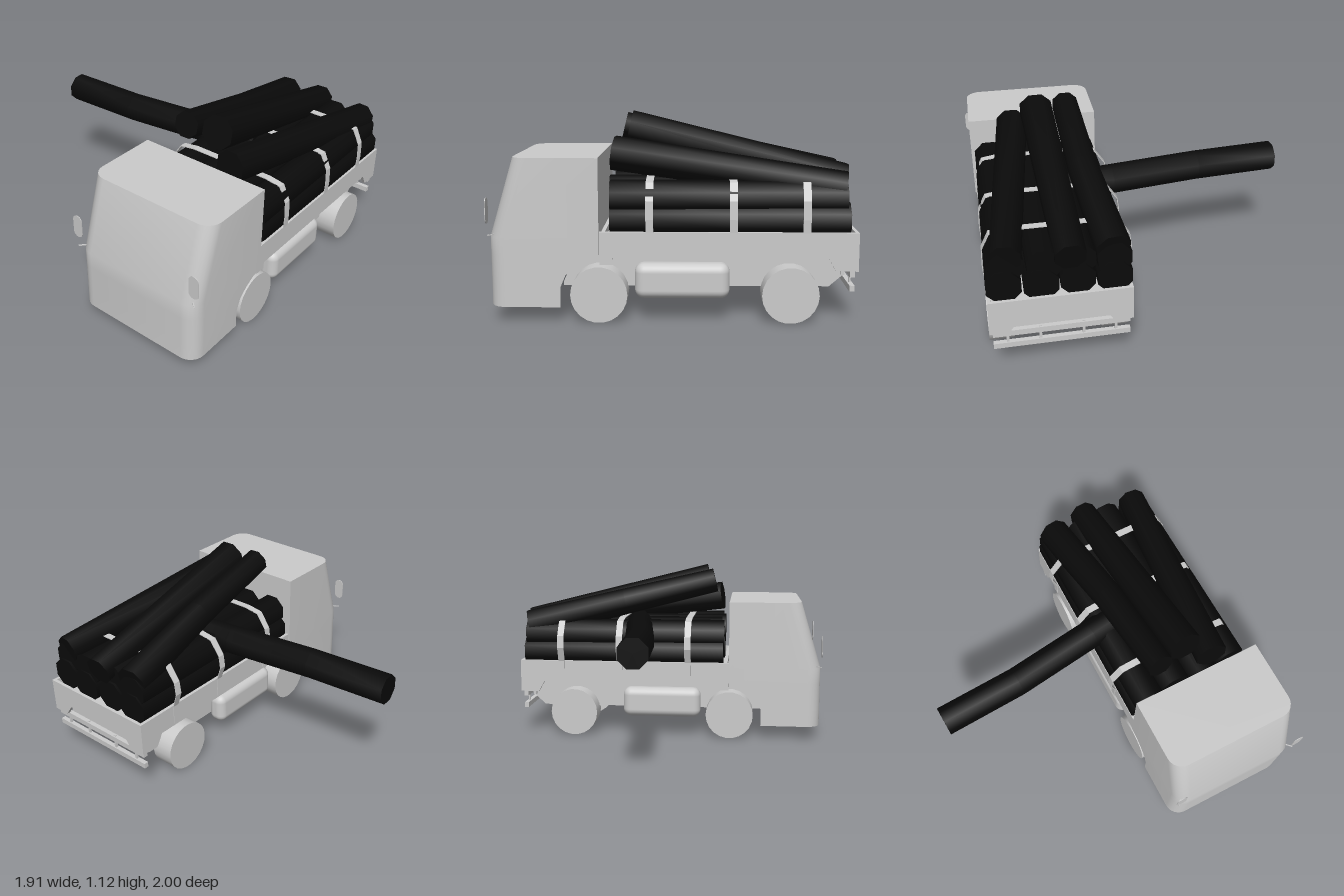
import * as THREE from 'three';
import { RoundedBoxGeometry } from 'three/addons/geometries/RoundedBoxGeometry.js';
import { toCreasedNormals } from 'three/addons/utils/BufferGeometryUtils.js';

const MID = 0.51; // centre line of the truck
const V = (x, y, z) => new THREE.Vector3(x, y, z);
const grey = new THREE.MeshStandardMaterial({ color: 0xcccccc });
const greyThin = new THREE.MeshStandardMaterial({ color: 0xcccccc, side: THREE.DoubleSide });
const bark = new THREE.MeshStandardMaterial({ color: 0x0a0a0a });

// Skin over a list of equal rings with end fans; keep(i, j) can leave panels out
function loft(rings, crease, startCap = true, keep = () => true) {
  const pos = [];
  const tri = (...ps) => ps.forEach((p) => pos.push(p.x, p.y, p.z));
  const n = rings[0].length;
  const centre = (ring) => ring.reduce((s, p) => s.add(p), V(0, 0, 0)).divideScalar(n);
  for (let i = 0; i < rings.length - 1; i++) {
    for (let j = 0; j < n; j++) {
      if (!keep(i, j)) continue;
      const k = (j + 1) % n, a = rings[i], b = rings[i + 1];
      tri(a[j], a[k], b[k]);
      tri(a[j], b[k], b[j]);
    }
  }
  const first = rings[0], last = rings[rings.length - 1];
  const c0 = centre(first), c1 = centre(last);
  for (let j = 0; j < n; j++) {
    const k = (j + 1) % n;
    if (startCap) tri(c0, first[k], first[j]);
    tri(c1, last[j], last[k]);
  }
  const g = new THREE.BufferGeometry();
  g.setAttribute('position', new THREE.Float32BufferAttribute(pos, 3));
  g.computeVertexNormals();
  return toCreasedNormals(g, crease);
}

// Profile in (z, y), extruded across x by the given thickness, centred on x
function sideExtrude(points, thickness, x) {
  const shape = new THREE.Shape(points.map(([z, y]) => new THREE.Vector2(-z, y)));
  const g = new THREE.ExtrudeGeometry(shape, { depth: thickness, bevelEnabled: false });
  return g.rotateY(Math.PI / 2).translate(x - thickness / 2, 0, 0);
}

export function createModel() {
  const model = new THREE.Group();
  model.name = 'logTruck';
  const add = (name, geometry, material = grey, parent = model) => {
    const m = new THREE.Mesh(geometry, material);
    m.name = name;
    parent.add(m);
    return m;
  };
  const box = (name, w, h, d, x, y, z) => add(name, new THREE.BoxGeometry(w, h, d).translate(x, y, z));

  // Cab shell: plan sections with rounded front corners, open underneath and behind the wheel arch
  const cabLevels = [[0.09, 0.995, 0.61], [0.2, 0.995, 0.61], [0.27, 0.995, 0.58], [0.315, 0.995, 0.53],
    [0.35, 0.995, 0.47], [0.37, 0.995, 0.4], [0.47, 0.995, 0.4], [0.9, 0.865, 0.4]];
  const cabRing = ([y, front, back]) => {
    const ring = [], r = 0.09, w = 0.41, mid = 0.514;
    for (let i = 0; i <= 6; i++) {
      const a = (i / 6) * Math.PI / 2;
      ring.push(V(mid + w - r + r * Math.sin(a), y, front - r + r * Math.cos(a)));
    }
    ring.push(V(mid + w, y, back), V(mid - w, y, back));
    for (let i = 6; i >= 0; i--) {
      const a = (i / 6) * Math.PI / 2;
      ring.push(V(mid - w + r - r * Math.sin(a), y, front - r + r * Math.cos(a)));
    }
    return ring;
  };
  add('cab', loft(cabLevels.map(cabRing), 0.5, false, (i, j) => j !== 7 || i >= 5), greyThin);

  // Load bed: floor, headboard and tailgate with a raised middle
  box('bedFloor', 0.76, 0.1, 1.38, MID, 0.41, -0.29);
  box('headboard', 0.79, 0.14, 0.02, MID, 0.43, 0.38);
  const gate = new THREE.Shape([[-0.395, 0.5], [-0.395, 0.29], [-0.29, 0.29], [-0.24, 0.36],
    [0.24, 0.36], [0.29, 0.29], [0.395, 0.29], [0.395, 0.5]].map(([x, y]) => new THREE.Vector2(x, y)));
  add('tailgate', new THREE.ExtrudeGeometry(gate, { depth: 0.02, bevelEnabled: false }).translate(MID, 0, -0.99));
  box('rearCrossMember', 0.62, 0.11, 0.02, MID, 0.305, -0.92);

  const bedSide = [[0.4, 0.5], [-0.99, 0.5], [-0.99, 0.29], [-0.87, 0.29], [-0.83, 0.36],
    [0.33, 0.36], [0.33, 0.32], [0.4, 0.32]];
  const skirt = [[0.61, 0.18], [0.61, 0.2], [0.58, 0.27], [0.53, 0.315], [0.47, 0.35], [0.4, 0.37],
    [-0.93, 0.37], [-0.93, 0.25], [-0.85, 0.18]];

  // Mirror plate outline
  const plate = new THREE.Shape();
  plate.absarc(0, 0.038, 0.032, 0, Math.PI, false);
  plate.absarc(0, -0.038, 0.032, Math.PI, Math.PI * 2, false);

  // Parts on both sides
  for (const [side, s] of [['left', 1], ['right', -1]]) {
    add(side + 'BedSide', sideExtrude(bedSide, 0.02, MID + s * 0.385));
    add(side + 'Skirt', sideExtrude(skirt, 0.02, MID + s * 0.28));
    add(side + 'Tank', new RoundedBoxGeometry(0.12, 0.195, 0.515, 4, 0.05)).position.set(MID + s * 0.335, 0.225, -0.045);
    for (const [end, z] of [['Front', 0.405], ['Rear', -0.63]]) {
      const wheel = add(side + end + 'Wheel', new THREE.CylinderGeometry(0.155, 0.155, 0.143, 22));
      wheel.rotation.z = Math.PI / 2;
      wheel.position.set(MID + s * 0.331, 0.155, z);
    }
    const mirror = add(side + 'Mirror', new THREE.ExtrudeGeometry(plate, { depth: 0.004, bevelEnabled: false }), greyThin);
    mirror.position.set(0.516 + s * 0.406, 0.62, 0.994);
    const arm = add(side + 'MirrorArm', new THREE.BoxGeometry(0.055, 0.006, 0.006));
    arm.position.set(0.514 + s * 0.392, 0.485, 0.975);
    arm.rotation.y = -s * Math.PI / 4;
    for (const x of [0.12, 0.3]) box(side + 'BumperPost', 0.015, 0.11, 0.012, MID + s * x, 0.24, -0.96);
  }
  box('upperBumperBar', 0.76, 0.035, 0.028, MID, 0.272, -0.96);
  box('lowerBumperBar', 0.76, 0.033, 0.028, MID, 0.192, -0.96);

  // Logs: eight-sided, slightly tapered, ends cut square
  const logs = new THREE.Group();
  logs.name = 'logs';
  model.add(logs);
  const log = (name, points, r0, r1) => {
    const rings = points.map((p, i) => {
      const d = points[Math.min(i + 1, points.length - 1)].clone().sub(points[Math.max(i - 1, 0)]).normalize();
      const u = V(0, 1, 0).cross(d).normalize(), v = d.clone().cross(u);
      const r = r0 + (r1 - r0) * i / (points.length - 1);
      return Array.from({ length: 8 }, (_, j) => {
        const a = (j + 0.5) * Math.PI / 4;
        return p.clone().addScaledVector(u, r * Math.cos(a)).addScaledVector(v, r * Math.sin(a));
      });
    });
    add(name, loft(rings, 0.9), bark, logs);
  };
  [0.21, 0.41, 0.61, 0.81].forEach((x, i) => {
    const dz = 0.015 * (i % 2);
    log('bottomLog', [V(x, 0.56, -0.96 + dz), V(x, 0.56, -0.3), V(x, 0.56, 0.36 - dz)], 0.103, 0.103);
  });
  [0.22, 0.41, 0.6, 0.8].forEach((x, i) => {
    const dz = 0.02 * (i % 2), y = 0.675;
    log('middleLog', [V(x - 0.01, y, -0.95 + dz), V(x, y, -0.3), V(x + 0.01, y, 0.365 - dz)], 0.1, 0.1);
  });
  log('topLog', [V(0.215, 0.73, -0.94), V(0.285, 0.885, -0.3), V(0.312, 1.03, 0.3)], 0.1, 0.082);
  log('topLog', [V(0.45, 0.735, -0.98), V(0.5, 1.03, 0.26)], 0.09, 0.105);
  log('topLog', [V(0.79, 0.73, -0.93), V(0.65, 0.9, 0.34)], 0.09, 0.1);
  log('crossLog', [V(-0.955, 0.725, -0.08), V(-0.45, 0.72, -0.11), V(0.1, 0.72, -0.185), V(0.45, 0.72, -0.23)], 0.09, 0.09);

  // Straps: flat bands over the load, with a loose end hanging down the right side
  const strapPath = [[0.105, 0.38], [0.105, 0.5], [0.075, 0.59], [0.085, 0.67], [0.15, 0.765], [0.25, 0.78],
    [0.77, 0.78], [0.865, 0.765], [0.91, 0.67], [0.914, 0.57], [0.91, 0.5]];
  const strapShape = new THREE.Shape(strapPath.concat(
    strapPath.map(([x, y]) => [MID + (x - MID) * 0.988, y - (y > 0.7 ? 0.005 : 0)]).reverse()
  ).map(([x, y]) => new THREE.Vector2(x, y)));
  for (const z of [0.13, -0.32, -0.71]) {
    add('strap', new THREE.ExtrudeGeometry(strapShape, { depth: 0.042, bevelEnabled: false }).translate(0, 0, z - 0.021), greyThin);
  }
  return model;
}
